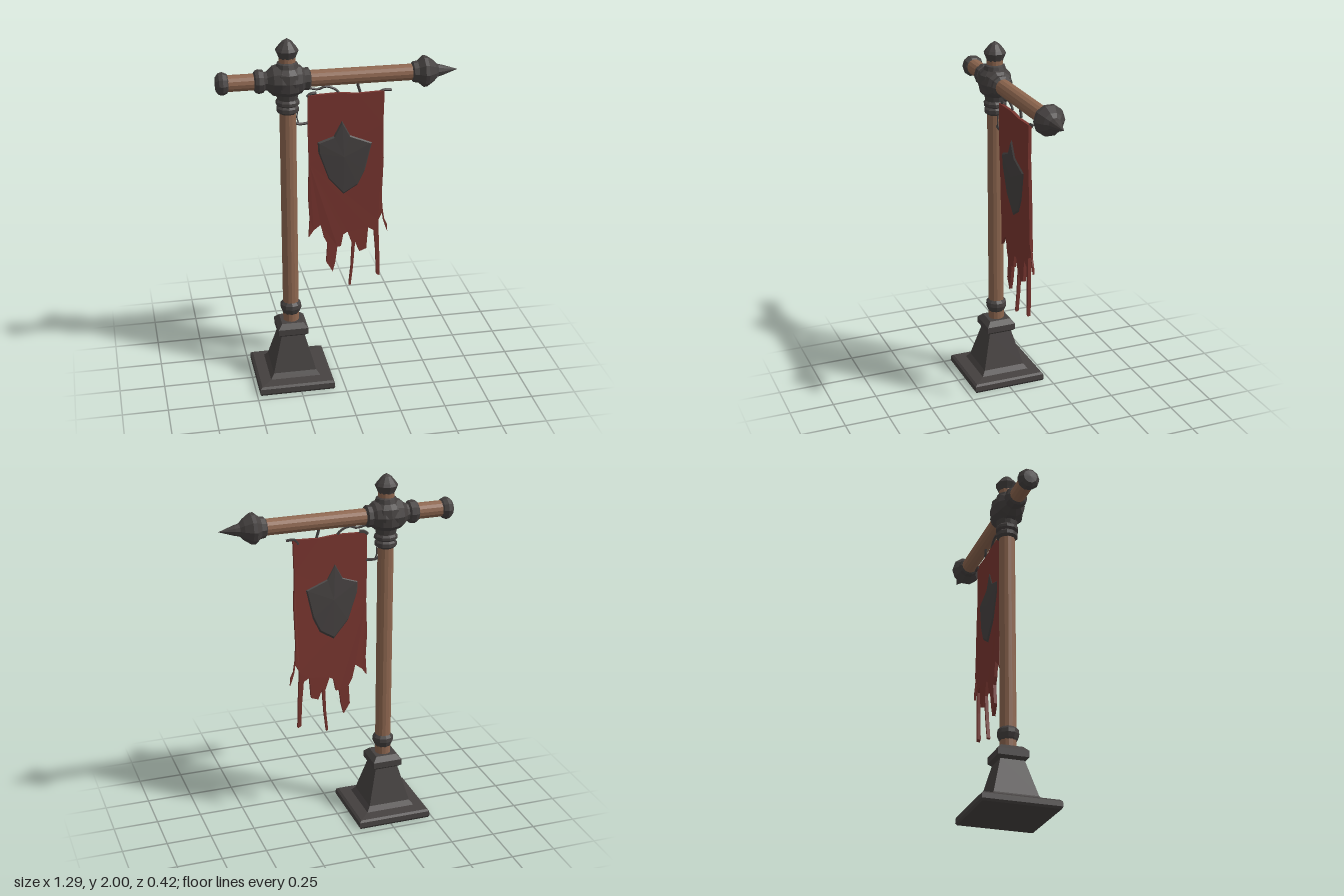
import * as THREE from 'three';

const POLE_X = -0.272, BAR_Y = 1.775;

export function createModel() {
  const model = new THREE.Group();
  const mat = (name, color, extra = {}) => {
    const m = new THREE.MeshStandardMaterial({ color, flatShading: true, ...extra });
    m.name = name;
    return m;
  };
  const wood = mat('wood', 0x8d664f);
  const iron = mat('dark iron', 0x454140);
  const cloth = mat('red cloth', 0x78352f);

  const add = (name, geometry, material) => {
    const mesh = new THREE.Mesh(geometry, material);
    mesh.name = name;
    model.add(mesh);
    return mesh;
  };
  const points = (list) => list.map(([x, y]) => new THREE.Vector2(x, y));

  // Turned part standing on the pole axis; profile is [radius, y]
  const upright = (name, profile, material, sides = 10) => {
    add(name, new THREE.LatheGeometry(points(profile), sides), material).position.x = POLE_X;
  };
  // Turned part lying on the crossbar axis; profile is [radius, x]
  const lying = (name, profile, material, sides = 10) => {
    const g = new THREE.LatheGeometry(points(profile), sides).rotateZ(-Math.PI / 2);
    add(name, g, material).position.y = BAR_Y;
  };

  // Square stepped pedestal
  const square = [[0, 0], [0.205, 0], [0.212, 0.012], [0.21, 0.04], [0.198, 0.05], [0.14, 0.058],
    [0.12, 0.085], [0.066, 0.285], [0.084, 0.3], [0.084, 0.335], [0.06, 0.362], [0, 0.362]]
    .map(([half, y]) => [half * Math.SQRT2, y]);
  const base = add('base', new THREE.LatheGeometry(points(square), 4, Math.PI / 4), iron);
  base.position.x = POLE_X;

  // Wooden pole and crossbar
  upright('pole', [[0.044, 0.34], [0.044, 1.92]], wood, 14);
  lying('crossbar', [[0.044, -0.61], [0.044, 0.42]], wood, 14);

  // Iron rings and finial on the pole
  upright('lowerRing', [[0.044, 0.405], [0.05, 0.415], [0.06, 0.44], [0.058, 0.462], [0.044, 0.478]], iron);
  upright('upperRing', [[0.044, 1.592], [0.06, 1.605], [0.06, 1.625], [0.05, 1.635],
    [0.064, 1.645], [0.064, 1.66], [0.052, 1.675]], iron);
  upright('topFinial', [[0.044, 1.895], [0.05, 1.91], [0.062, 1.937], [0.052, 1.953],
    [0.025, 1.985], [0, 2]], iron);

  // Cross joint: vertical and horizontal sockets around a bulging hub
  upright('hubSocket', [[0.044, 1.665], [0.054, 1.672], [0.06, 1.7], [0.086, 1.725], [0.092, 1.775],
    [0.086, 1.82], [0.062, 1.845], [0.055, 1.868], [0.044, 1.874]], iron, 12);
  lying('hub', [[0.044, -0.45], [0.057, -0.442], [0.064, -0.425], [0.06, -0.4], [0.048, -0.392],
    [0.05, -0.38], [0.078, -0.35], [0.088, -0.31], [0.088, -0.24], [0.074, -0.2],
    [0.058, -0.185], [0.06, -0.16], [0.044, -0.15]], iron, 10);

  // Crossbar ends
  lying('buttCap', [[0, -0.65], [0.038, -0.647], [0.056, -0.632], [0.061, -0.612], [0.052, -0.59],
    [0.044, -0.583]], iron);
  lying('spearFinial', [[0.044, 0.392], [0.055, 0.4], [0.058, 0.425], [0.084, 0.455], [0.082, 0.475],
    [0.055, 0.515], [0.034, 0.535], [0.028, 0.56], [0, 0.645]], iron);

  // Torn banner, gently waving in depth
  const sway = (y) => 0.005 + 0.006 * Math.sin(y * 5);
  const slab = (outline, depth) => {
    const g = new THREE.ExtrudeGeometry(new THREE.Shape(points(outline)), { depth, bevelEnabled: false });
    g.translate(0, 0, -depth / 2);
    const p = g.attributes.position;
    for (let i = 0; i < p.count; i++) p.setZ(i, p.getZ(i) + sway(p.getY(i)));
    return g;
  };
  add('banner', slab([
    [-0.165, 1.685], [-0.168, 1.5], [-0.163, 1.3], [-0.168, 1.1], [-0.16, 0.97], [-0.167, 0.86],
    [-0.14, 0.9], [-0.1, 0.93], [-0.082, 0.85], [-0.062, 0.81], [-0.07, 0.7], [-0.035, 0.64],
    [-0.02, 0.7], [-0.008, 0.79], [0.012, 0.79], [0.025, 0.86], [0.05, 0.875], [0.075, 0.8],
    [0.068, 0.66], [0.056, 0.55], [0.066, 0.545], [0.08, 0.66], [0.092, 0.81], [0.115, 0.75],
    [0.155, 0.765], [0.165, 0.89], [0.198, 0.87], [0.208, 0.75], [0.214, 0.6], [0.232, 0.59],
    [0.23, 0.72], [0.222, 0.93], [0.245, 0.98], [0.24, 1.1], [0.246, 1.3], [0.24, 1.5], [0.245, 1.685],
    [0.1, 1.68], [0, 1.69],
  ].reverse(), 0.018), cloth);
  add('looseShred', slab([[0.242, 0.99], [0.25, 0.93], [0.262, 0.89], [0.275, 0.855], [0.272, 0.9],
    [0.256, 0.935], [0.247, 0.995]], 0.01), cloth);

  // Raised shield emblem on both faces: a rim fanned up to a centre ridge
  const rim = [[0.015, 1.535], [-0.03, 1.45], [-0.118, 1.42], [-0.115, 1.36], [-0.06, 1.2],
    [0.025, 1.1], [0.105, 1.15], [0.145, 1.235], [0.182, 1.4], [0.06, 1.45]];
  for (const side of [1, -1]) {
    const v = [];
    rim.forEach((a, i) => {
      const b = rim[(i + 1) % rim.length];
      const [p, q] = side > 0 ? [a, b] : [b, a];
      const low = side * 0.006, mid = side * 0.016, high = side * 0.023;
      const inset = ([x, y]) => [0.025 + (x - 0.025) * 0.93, 1.33 + (y - 1.33) * 0.93];
      const [pi, qi] = [inset(p), inset(q)];
      v.push(...p, low, ...q, low, ...qi, mid, ...p, low, ...qi, mid, ...pi, mid,
        ...pi, mid, ...qi, mid, 0.025, 1.33, high);
    });
    for (let i = 0; i < v.length; i += 3) v[i + 2] += sway(v[i + 1]);
    const g = new THREE.BufferGeometry();
    g.setAttribute('position', new THREE.Float32BufferAttribute(v, 3));
    g.computeVertexNormals();
    add(side > 0 ? 'frontShield' : 'backShield', g, iron);
  }

  // Thin rods, ties and hooks that hold the cloth
  const cord = (name, radius, path) => {
    const curve = new THREE.CatmullRomCurve3(path.map(([x, y]) => new THREE.Vector3(x, y, 0.005)));
    add(name, new THREE.TubeGeometry(curve, 12, radius, 5), iron);
  };
  cord('sideBracket', 0.008, [[-0.24, 1.54], [-0.215, 1.528], [-0.16, 1.53]]);
  cord('sideWire', 0.004, [[-0.222, 1.6], [-0.224, 1.56], [-0.215, 1.53]]);
  cord('sagTie', 0.007, [[-0.16, 1.725], [-0.11, 1.715], [-0.07, 1.727], [-0.02, 1.71], [0, 1.69]]);
  cord('leftTie', 0.01, [[-0.17, 1.675], [-0.15, 1.69], [-0.12, 1.695]]);
  cord('middleHook', 0.008, [[0.1, 1.74], [0.105, 1.715], [0.115, 1.685]]);
  cord('rightTie', 0.008, [[0.215, 1.66], [0.235, 1.685], [0.285, 1.686]]);

  return model;
}
